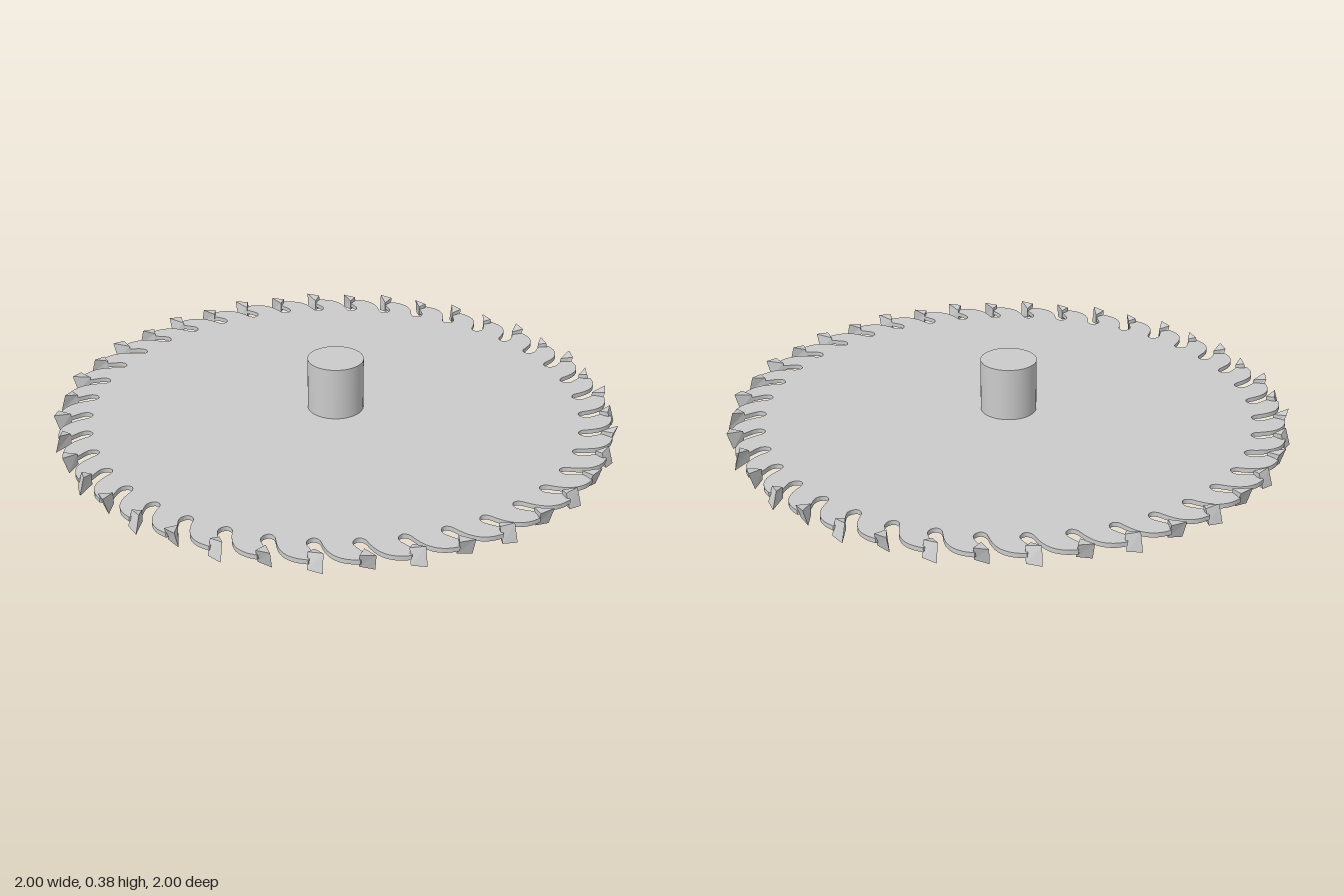
import * as THREE from 'three';
import { toCreasedNormals } from 'three/addons/utils/BufferGeometryUtils.js';

const TEETH = 40;
const PITCH = 360 / TEETH;
const BLADE_Y = 0.176;
const THICKNESS = 0.016;
const OFFSET = 0.4; // degrees by which the first tip is turned
const rad = THREE.MathUtils.degToRad;

// Point at a given number of degrees behind a tooth tip, at radius r
const polar = (behind, r, turn = 0) =>
  new THREE.Vector2(r * Math.cos(rad(turn - behind)), r * Math.sin(rad(turn - behind)));

// Hooked gullet: down the rake wall, round the bottom, up the next tooth's back
const GULLET = [
  [2.5, 0.928], [3.5, 0.9], [3.3, 0.878], [2.2, 0.867], [1.0, 0.878],
  [0.3, 0.905], [-0.7, 0.937], [-2.2, 0.964], [-4.2, 0.98], [-6.4, 0.985],
];

function bladeGeometry() {
  const shape = new THREE.Shape();
  for (let k = 0; k < TEETH; k++) {
    const turn = k * PITCH + OFFSET;
    const seat = polar(1.6, 0.95, turn);
    if (k === 0) shape.moveTo(seat.x, seat.y);
    else shape.lineTo(seat.x, seat.y);
    shape.splineThru(GULLET.map(([t, r]) => polar(t, r, turn)));
  }
  const geo = new THREE.ExtrudeGeometry(shape, { depth: THICKNESS, bevelEnabled: false, curveSegments: 3 });
  geo.translate(0, 0, -THICKNESS / 2);
  geo.rotateX(-Math.PI / 2);
  return toCreasedNormals(geo, 0.6);
}

// Wedge-shaped cutter, widest at the tip, with its outer face bevelled to one side
function cutterGeometry(bevel) {
  const ring = (side) => {
    const drop = side === bevel ? 0.018 : 0;
    return [[0, 1 - drop, 0.031], [2.8, 0.987 - drop, 0.026], [1.7, 0.943, 0.02]].map(([t, r, h]) => {
      const p = polar(t, r);
      return [p.x, side * h, -p.y];
    });
  };
  const [a, b, c] = ring(1);
  const [d, e, f] = ring(-1);
  const quad = (p, q, r, s) => [p, q, r, p, r, s];
  const corners = [
    a, c, b, d, e, f,
    ...quad(a, b, e, d), // outer face
    ...quad(b, c, f, e), // seat
    ...quad(c, a, d, f), // rake face
  ];
  const geo = new THREE.BufferGeometry();
  geo.setAttribute('position', new THREE.Float32BufferAttribute(corners.flat(), 3));
  geo.computeVertexNormals();
  return geo;
}

export function createModel() {
  const model = new THREE.Group();
  model.name = 'circularSaw';
  const material = new THREE.MeshStandardMaterial({ color: 0xcccccc });

  const add = (name, geometry, y, parent = model) => {
    const mesh = new THREE.Mesh(geometry, material);
    mesh.name = name;
    mesh.position.y = y;
    parent.add(mesh);
    return mesh;
  };

  add('shaft', new THREE.CylinderGeometry(0.1, 0.1, 0.375, 48), 0.1875);
  add('blade', bladeGeometry(), BLADE_Y);

  // Cutters bevelled alternately up and down
  const cutters = new THREE.Group();
  cutters.name = 'cutters';
  model.add(cutters);
  const kinds = [cutterGeometry(1), cutterGeometry(-1)];
  for (let k = 0; k < TEETH; k++) {
    add('cutter', kinds[k % 2], BLADE_Y, cutters).rotation.y = rad(k * PITCH + OFFSET);
  }
  return model;
}
